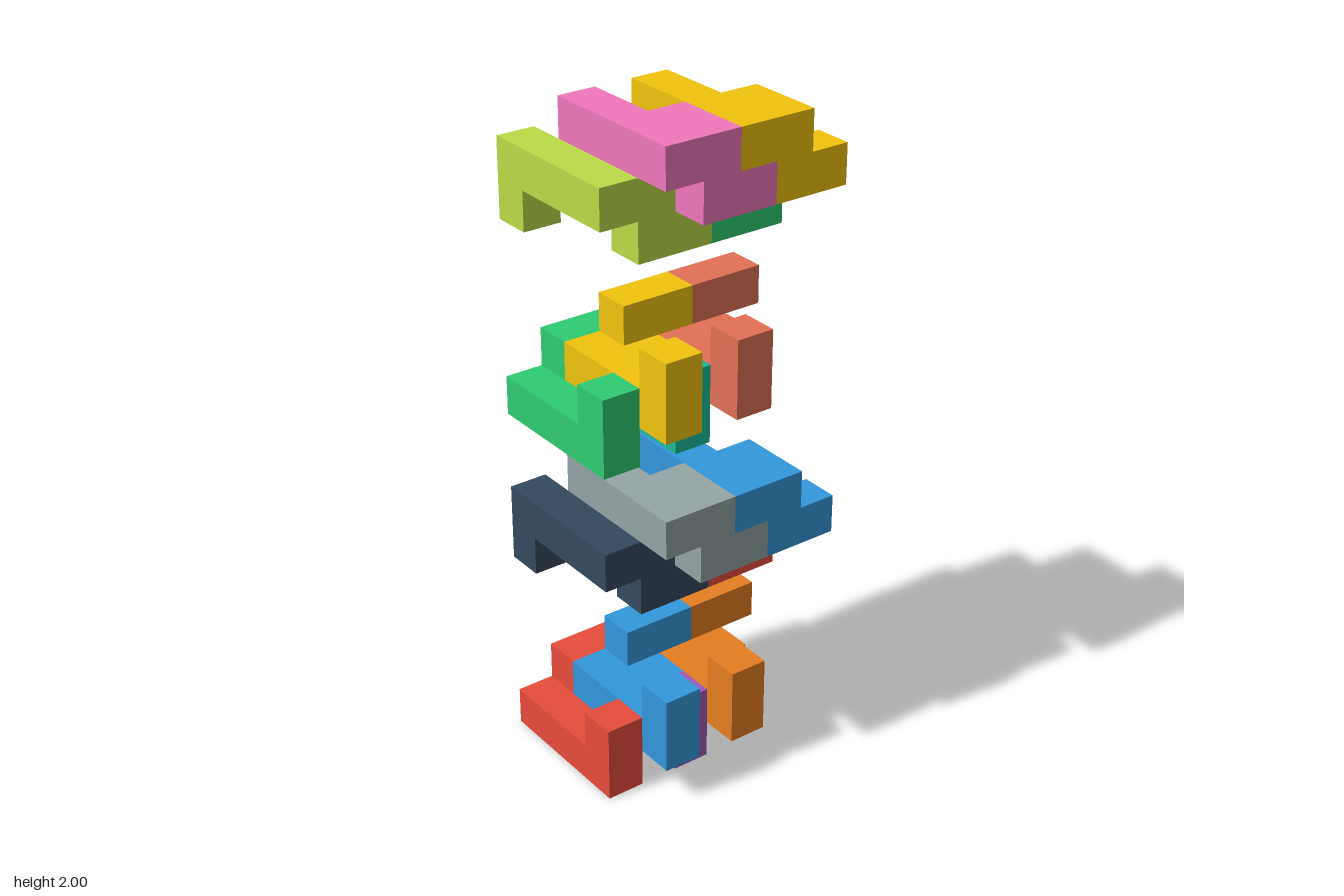
import * as THREE from 'three';
import { mergeGeometries } from 'three/addons/utils/BufferGeometryUtils.js';

const U = 2 / 17; // edge of one cube cell

// One puzzle piece as cells [x, y, z]: a four-cell bar with a two-cell bump,
// a leg under its far end and a stepped arm under its near end.
const CELLS = [
  [0, 0, 0], [0, 0, 1], [0, 0, 2], [0, 0, 3], // bar
  [1, 0, 2], [1, 0, 3],                       // bump
  [0, -1, 0],                                 // leg
  [1, -1, 3], [2, -1, 3],                     // arm
];

// Outward directions with the turn that makes a plane face that way
const SIDES = [
  [[0, 0, 1], 0, 0], [[0, 0, -1], 0, Math.PI],
  [[1, 0, 0], 0, Math.PI / 2], [[-1, 0, 0], 0, -Math.PI / 2],
  [[0, 1, 0], -Math.PI / 2, 0], [[0, -1, 0], Math.PI / 2, 0],
];

// Solid piece made only of the outer faces of its cells, centred on the bar's z length
function pieceGeometry() {
  const filled = new Set(CELLS.map(String));
  const faces = [];
  for (const [x, y, z] of CELLS) {
    for (const [[dx, dy, dz], rx, ry] of SIDES) {
      if (filled.has(String([x + dx, y + dy, z + dz]))) continue;
      faces.push(new THREE.PlaneGeometry(U, U).rotateX(rx).rotateY(ry).translate(
        (x + dx / 2) * U, (y + dy / 2) * U, (z - 1.5 + dz / 2) * U));
    }
  }
  return mergeGeometries(faces);
}

// Four interlocked pieces; turned layers hold their legs upward.
// colors: front left, front right, back left, back right (as seen from the front)
function layer(name, geometry, baseY, turned, colors) {
  const group = new THREE.Group();
  group.name = name;
  const names = ['upperLeftPiece', 'upperRightPiece', 'lowerLeftPiece', 'lowerRightPiece'];
  colors.forEach((color, i) => {
    const lower = i > 1 ? 1 : 0;
    const piece = new THREE.Mesh(geometry, new THREE.MeshStandardMaterial({ color }));
    piece.name = names[i];
    piece.position.set(
      (-1.5 + (i % 2) * 2 - lower) * U,
      (baseY + (turned ? 1.5 : 2.5) - lower) * U,
      (0.5 - lower) * U);
    if (turned) piece.rotation.x = Math.PI;
    group.add(piece);
  });
  return group;
}

export function createModel() {
  const model = new THREE.Group();
  model.name = 'explodedCubePuzzle';
  const geometry = pieceGeometry();
  model.add(
    layer('bottomLayer', geometry, 0, true, [0x3498db, 0xe67e22, 0xe74c3c, 0x9b59b6]),
    layer('secondLayer', geometry, 5, false, [0x95a5a6, 0x3498db, 0x34495e, 0xe74c3c]),
    layer('thirdLayer', geometry, 9, true, [0xf1c40f, 0xe17055, 0x2ecc71, 0x1abc9c]),
    layer('topLayer', geometry, 14, false, [0xf078bc, 0xf1c40f, 0xbadc48, 0x2ecc71]),
  );
  return model;
}
